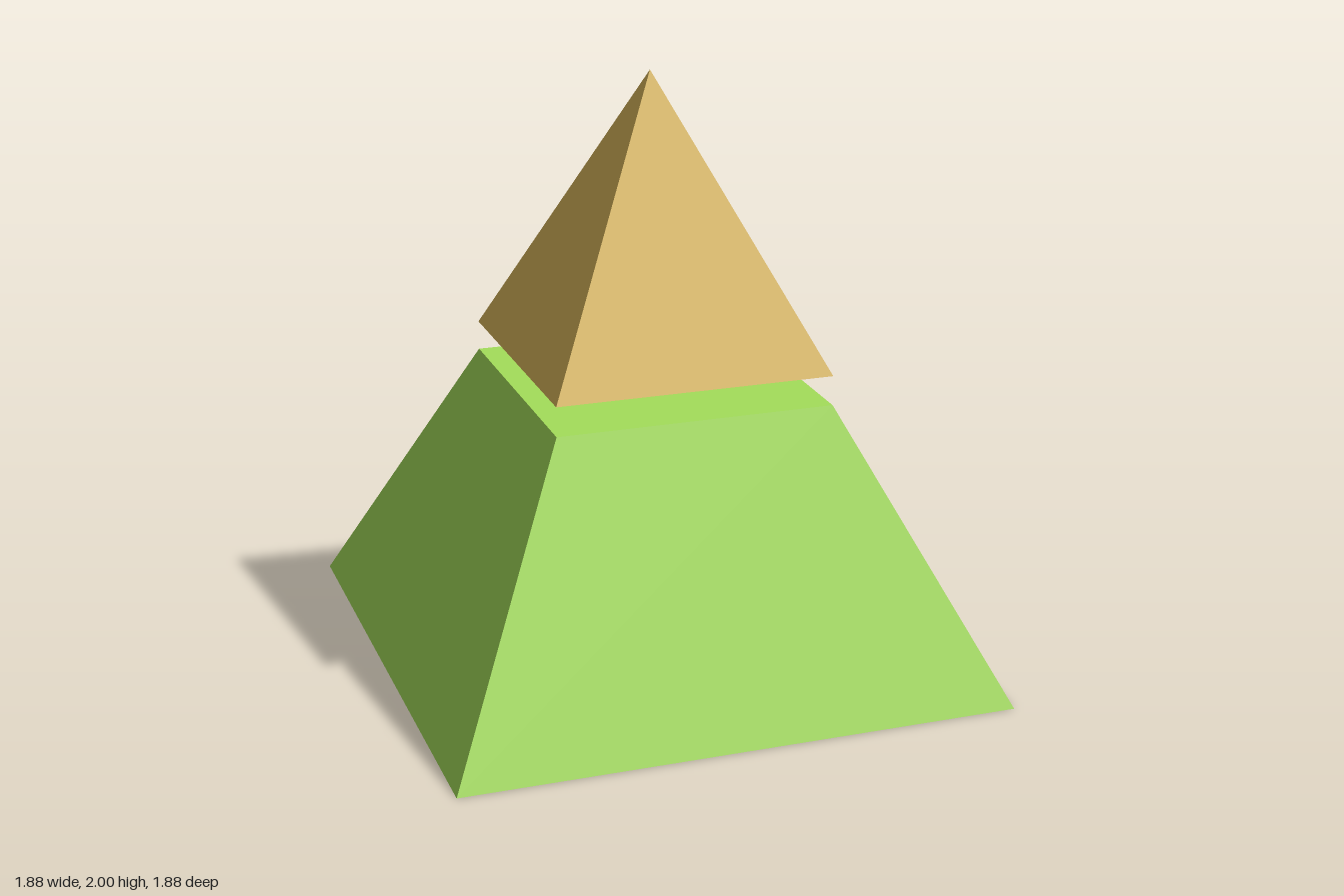
import * as THREE from 'three';

// Square tapered block given by its half widths and its bottom and top heights
function taperedBlock(name, halfTop, halfBottom, y0, y1, color) {
  const geometry = new THREE.CylinderGeometry(
    halfTop * Math.SQRT2, halfBottom * Math.SQRT2, y1 - y0, 4, 1);
  geometry.rotateY(Math.PI / 4);
  geometry.translate(0, (y0 + y1) / 2, 0);
  const mesh = new THREE.Mesh(
    geometry, new THREE.MeshStandardMaterial({ color, flatShading: true }));
  mesh.name = name;
  return mesh;
}

export function createModel() {
  const model = new THREE.Group();
  model.name = 'splitPyramid';

  // Truncated lower part
  model.add(taperedBlock('pyramidBase', 0.47, 0.94, 0, 0.95, 0xa4de5a));

  // Capstone floating above a narrow gap
  model.add(taperedBlock('capstone', 0, 0.47, 1.05, 2, 0xdcb85c));

  return model;
}
